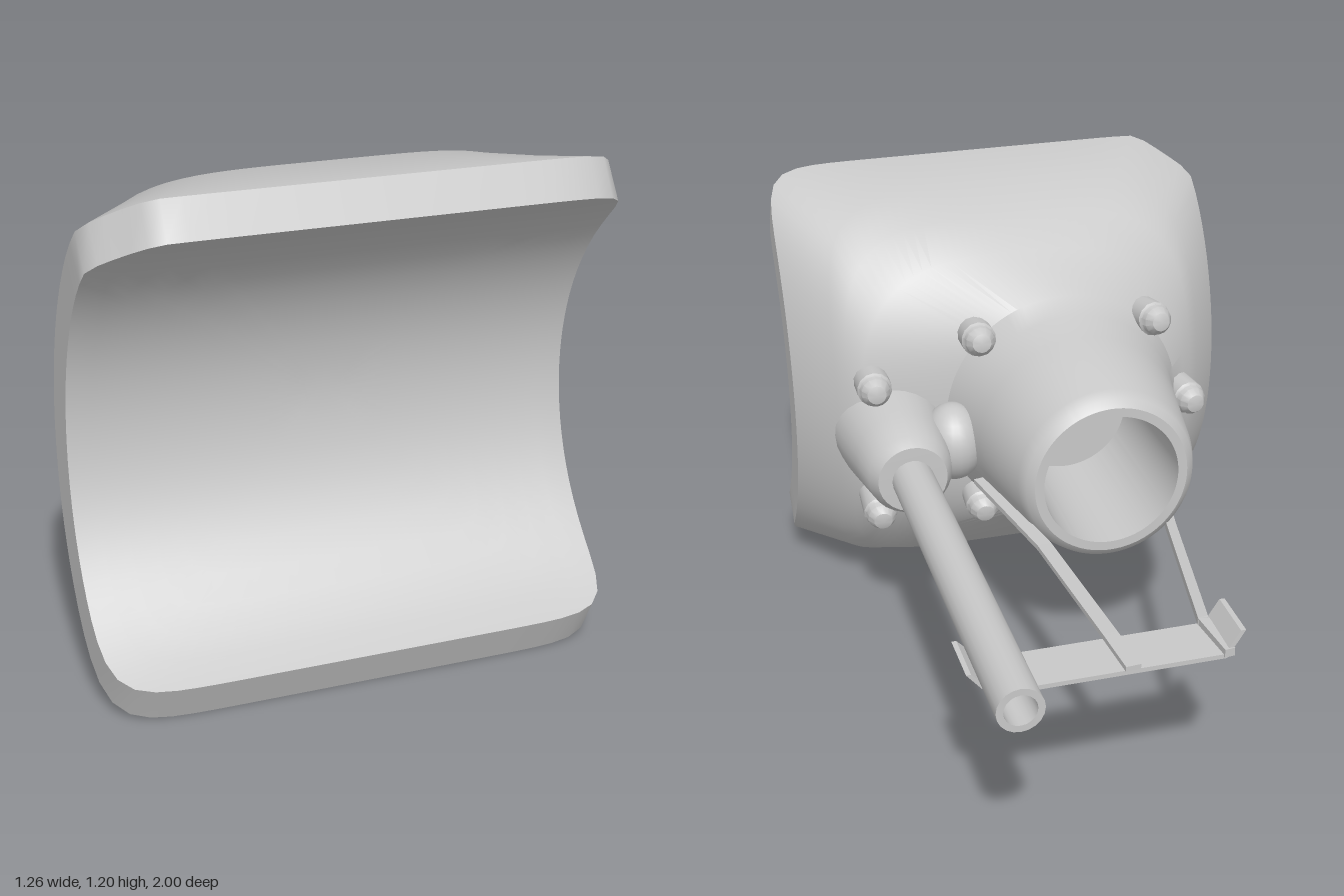
import * as THREE from 'three';
import { toCreasedNormals } from 'three/addons/utils/BufferGeometryUtils.js';

const steel = new THREE.MeshStandardMaterial({ color: 0xc8c8c8 });
steel.name = 'light steel grey';

const SEG = 120;
const AXIS_Y = 0.615, AXIS_Z = 1.225; // axis of the curved shield

function mesh(geometry, name) {
  const m = new THREE.Mesh(geometry, steel);
  m.name = name;
  return m;
}

// Rounded-square contour wrapped on a cylinder whose axis runs along x
function shieldRing({ scale = 1, hx, rTop, rSide, top, bottom, n }) {
  const pts = [];
  for (let i = 0; i < SEG; i++) {
    const a = ((i + 0.5) / SEG) * Math.PI * 2;
    const c = Math.cos(a), s = Math.sin(a);
    let k = 1 / Math.pow(Math.abs(c) ** n + Math.abs(s) ** n, 1 / n);
    if (n > 8 && s - c > 0) k = Math.min(k, 1.78 / (s - c)); // larger cut on one corner
    const u = c * k * scale, v = s * k * scale;
    const angle = THREE.MathUtils.degToRad(v > 0 ? v * top : v * bottom);
    const r = rSide + (rTop - rSide) * v * v;
    pts.push([u * hx, AXIS_Y + r * Math.sin(angle), AXIS_Z - r * Math.cos(angle)]);
  }
  return pts;
}

// Circular ring of the barrel sleeve
function sleeveRing(z, r) {
  const pts = [];
  for (let i = 0; i < SEG; i++) {
    const a = ((i + 0.5) / SEG) * Math.PI * 2;
    pts.push([-0.1 + r * Math.cos(a), 0.62 + r * Math.sin(a), z]);
  }
  return pts;
}

function loft(rings) {
  const index = [];
  for (let k = 0; k < rings.length - 1; k++) {
    for (let i = 0; i < SEG; i++) {
      const j = (i + 1) % SEG;
      const a = k * SEG + i, b = k * SEG + j;
      index.push(a, a + SEG, b, b, a + SEG, b + SEG);
    }
  }
  const g = new THREE.BufferGeometry();
  g.setAttribute('position', new THREE.Float32BufferAttribute(rings.flat(2), 3));
  g.setIndex(index);
  return toCreasedNormals(g, 0.6);
}

// Lathe whose profile axis points along -z: profile pairs are [radius, z]
function latheZ(profile, segments) {
  const g = new THREE.LatheGeometry(profile.map(([r, z]) => new THREE.Vector2(r, -z)), segments);
  g.rotateX(-Math.PI / 2);
  return toCreasedNormals(g, 0.6);
}

// Flat bar between two points
function bar(from, to, width, thick, name) {
  const a = new THREE.Vector3(...from), b = new THREE.Vector3(...to);
  const m = mesh(new THREE.BoxGeometry(width, thick, a.distanceTo(b) + 0.008), name);
  m.position.copy(a).add(b).multiplyScalar(0.5);
  m.lookAt(b);
  return m;
}

export function createModel() {
  const model = new THREE.Group();
  model.name = 'gunShield';

  // Curved shield, flowing into the hollow barrel sleeve
  const edge = { hx: 0.63, top: 61.8, bottom: 66.3, n: 11 };
  const rings = [];
  for (let k = 0; k <= 10; k++) {
    rings.push(shieldRing({ ...edge, scale: k / 10, rTop: 0.572, rSide: 0.572 }));
  }
  rings.push(
    shieldRing({ ...edge, rTop: 0.669, rSide: 0.675 }),
    shieldRing({ hx: 0.53, rTop: 0.79, rSide: 0.815, top: 46, bottom: 49.5, n: 4.5 }),
    shieldRing({ hx: 0.5, rTop: 0.83, rSide: 0.842, top: 37.5, bottom: 42, n: 4 }),
    shieldRing({ hx: 0.47, rTop: 0.895, rSide: 0.865, top: 29.8, bottom: 26.5, n: 3 }),
    sleeveRing(0.335, 0.337),
    sleeveRing(0.26, 0.307),
    sleeveRing(0.16, 0.286),
    sleeveRing(-0.08, 0.243),
    sleeveRing(-0.115, 0.23),
    sleeveRing(-0.13, 0.21),
    sleeveRing(-0.13, 0.185),
    sleeveRing(0.3, 0.175),
    sleeveRing(0.3, 0.001),
  );
  model.add(mesh(loft(rings), 'shieldBody'));

  // Small side sleeve and its tube
  const sideSleeve = mesh(latheZ([
    [0.155, 0.42], [0.148, 0.34], [0.132, 0.24], [0.115, 0.135], [0.095, 0.103], [0, 0.1],
  ], 28), 'sideSleeve');
  const tube = mesh(latheZ([
    [0.057, 0.15], [0.057, -1], [0.04, -1], [0.04, -0.85], [0, -0.85],
  ], 20), 'sideTube');
  for (const m of [sideSleeve, tube]) {
    m.position.set(0.385, 0.575, 0);
    model.add(m);
  }

  // Rounded web between the two sleeves
  const web = mesh(new THREE.SphereGeometry(1, 24, 16), 'sleeveWeb');
  web.scale.set(0.085, 0.11, 0.1);
  web.position.set(0.235, 0.59, 0.27);
  model.add(web);

  // Domed bolts leaning slightly away from the middle
  const boltGeometry = latheZ([
    [0.048, 0.11], [0.048, -0.025], [0.042, -0.032], [0.04, -0.05],
    [0.026, -0.07], [0, -0.077],
  ], 14);
  const bolts = [
    [0.15, 0.875, 0.31], [0.44, 0.755, 0.33], [0.44, 0.38, 0.33], [0.15, 0.37, 0.31],
    [-0.35, 0.37, 0.31], [-0.46, 0.62, 0.31], [-0.35, 0.875, 0.31],
  ];
  for (const [x, y, z] of bolts) {
    const bolt = mesh(boltGeometry, 'bolt');
    bolt.position.set(x, y, z);
    bolt.rotation.set((y - 0.62) * 0.6, x < 0 ? 0.12 : -0.05, 0);
    model.add(bolt);
  }

  // Thin cross plate with upturned ends, hung below the tube
  const plate = new THREE.Shape([
    [-0.22, 0.55], [-0.175, 0.478], [0.4, 0.478], [0.46, 0.55],
    [0.448, 0.55], [0.392, 0.49], [-0.168, 0.49], [-0.207, 0.55],
  ].map(([x, y]) => new THREE.Vector2(x, y)));
  const plateGeometry = new THREE.ExtrudeGeometry(plate, { depth: 0.145, bevelEnabled: false });
  plateGeometry.translate(0, 0, -0.8);
  model.add(mesh(plateGeometry, 'crossPlate'));

  // Struts carrying the plate: a narrow one and a flat one
  const struts = [
    { width: 0.026, thick: 0.022, path: [
      [-0.18, 0.495, -0.8], [-0.165, 0.497, -0.66], [-0.27, 0.45, -0.13], [-0.36, 0.41, 0.28]] },
    { width: 0.038, thick: 0.014, path: [
      [0.06, 0.497, -0.8], [0.07, 0.497, -0.66], [0.105, 0.492, -0.2], [0.175, 0.49, 0.2]] },
  ];
  for (const { width, thick, path } of struts) {
    for (let i = 0; i < path.length - 1; i++) {
      model.add(bar(path[i], path[i + 1], width, thick, 'strut'));
    }
  }
  return model;
}
